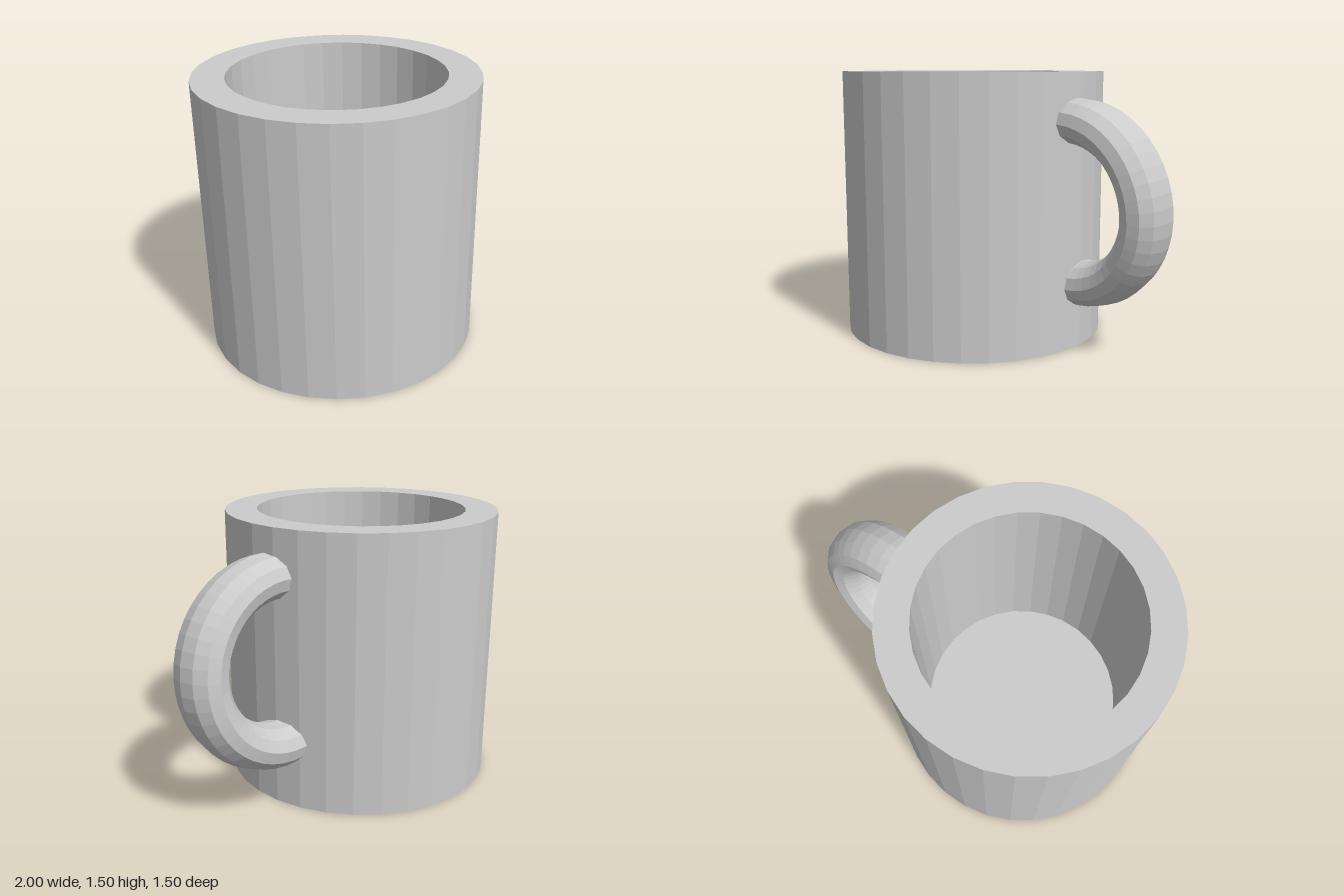
import * as THREE from 'three';

export function createModel() {
  const group = new THREE.Group();
  const material = new THREE.MeshStandardMaterial({ color: 0xcccccc, flatShading: true });

  // Cup body: thick-walled, faceted vessel with a closed floor
  const outer = 0.75, inner = 0.575, height = 1.5, floor = 0.17;
  const profile = [
    [0, 0], [outer, 0], [outer, height], [inner, height], [inner, floor], [0, floor],
  ].map(([r, y]) => new THREE.Vector2(r, y));
  const cup = new THREE.Mesh(new THREE.LatheGeometry(profile, 32), material);
  cup.name = 'cup';
  cup.position.x = -0.25;
  group.add(cup);

  // Handle: a little over half a ring with an oval section, ends sunk in the wall
  const ringRadius = 0.445, thickness = 0.122, breadth = 0.16;
  const overrun = THREE.MathUtils.degToRad(12);
  const ring = new THREE.TorusGeometry(ringRadius, thickness, 12, 27, Math.PI + 2 * overrun);
  ring.rotateZ(-Math.PI / 2 - overrun);
  ring.scale(1, 1, breadth / thickness);
  const handle = new THREE.Mesh(ring, material);
  handle.name = 'handle';
  handle.position.set(0.443, 0.8, -0.27);
  // Swung towards the back and leaning slightly forward at the top
  handle.rotation.set(THREE.MathUtils.degToRad(4.7), THREE.MathUtils.degToRad(13), 0, 'YXZ');
  group.add(handle);

  return group;
}
